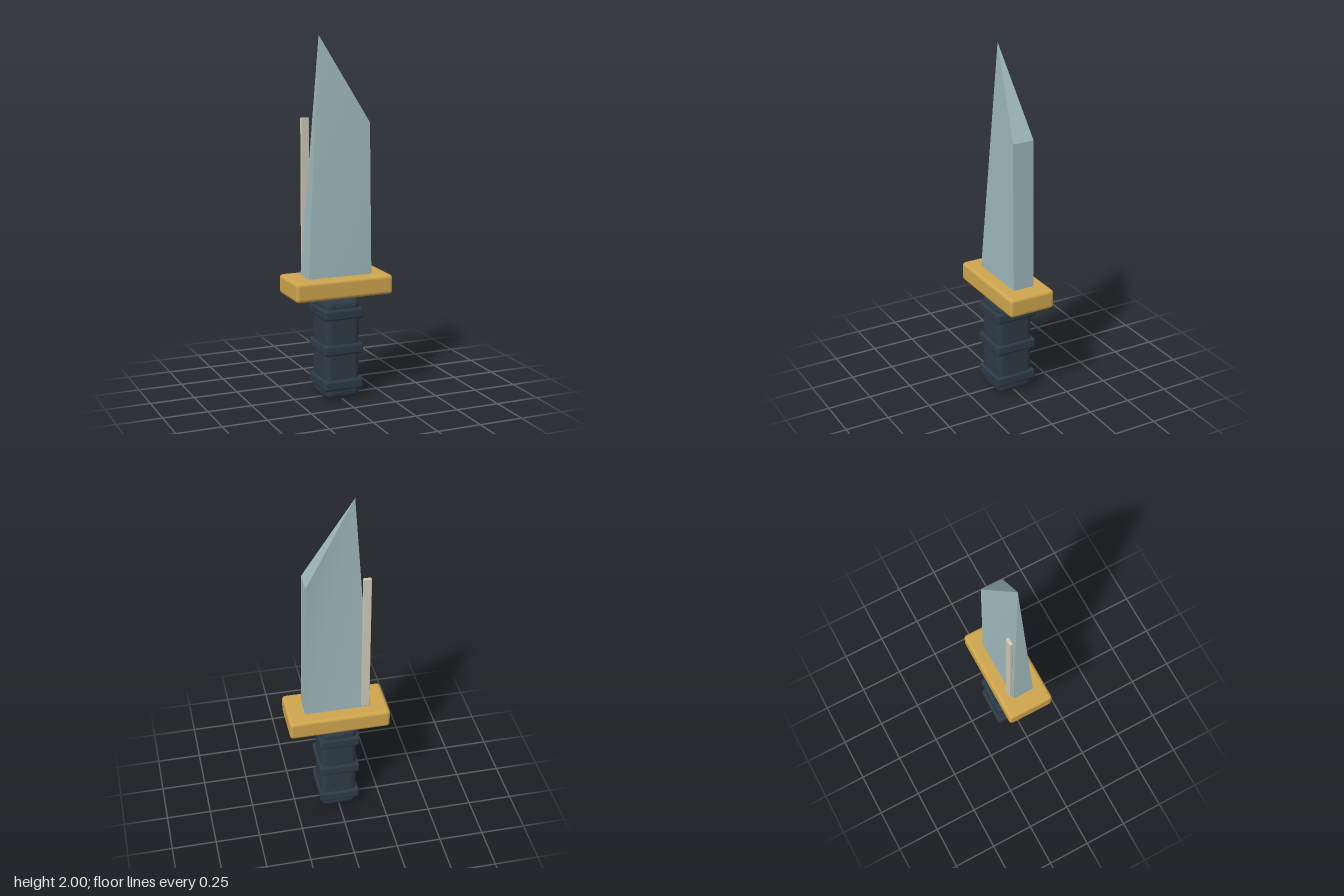
import * as THREE from 'three';
import { RoundedBoxGeometry } from 'three/addons/geometries/RoundedBoxGeometry.js';

function material(name, color) {
  const m = new THREE.MeshStandardMaterial({ color });
  m.name = name;
  return m;
}

export function createModel() {
  const group = new THREE.Group();
  group.name = 'knife';
  const steel = material('pale steel', 0x9fb8bb);
  const gold = material('gold', 0xcfa64e);
  const navy = material('dark navy', 0x2d3b47);
  const ivory = material('ivory', 0xcfcab8);

  function add(name, geometry, mat, x, y, z) {
    const mesh = new THREE.Mesh(geometry, mat);
    mesh.name = name;
    mesh.position.set(x, y, z);
    group.add(mesh);
    return mesh;
  }
  const rounded = (w, h, d, r) => new RoundedBoxGeometry(w, h, d, 2, r);

  // Grip with three raised bands
  add('grip', rounded(0.208, 0.57, 0.218, 0.04), navy, 0, 0.287, 0);
  [0.09, 0.29, 0.49].forEach((y, i) =>
    add('gripBand' + (i + 1), rounded(0.23, 0.06, 0.244, 0.014), navy, 0, y, 0));

  // Crossguard
  add('guard', rounded(0.57, 0.11, 0.272, 0.02), gold, 0, 0.637, 0);

  // Blade: a box whose top left edge closes to a point and top right edge is the shoulder
  const blade = new THREE.BoxGeometry(0.372, 1.31, 0.124);
  const p = blade.attributes.position;
  for (let i = 0; i < p.count; i++) {
    if (p.getY(i) < 0) continue;
    if (p.getX(i) < 0) p.setXYZ(i, -0.1, 0.655, 0);
    else p.setXYZ(i, 0.173, 0.185, p.getZ(i));
  }
  blade.computeVertexNormals();
  add('blade', blade, steel, 0, 1.345, 0);

  // Thin strip along the back of the blade
  add('edgeStrip', rounded(0.045, 0.843, 0.019, 0.003), ivory, -0.153, 1.135, -0.0725);

  return group;
}
